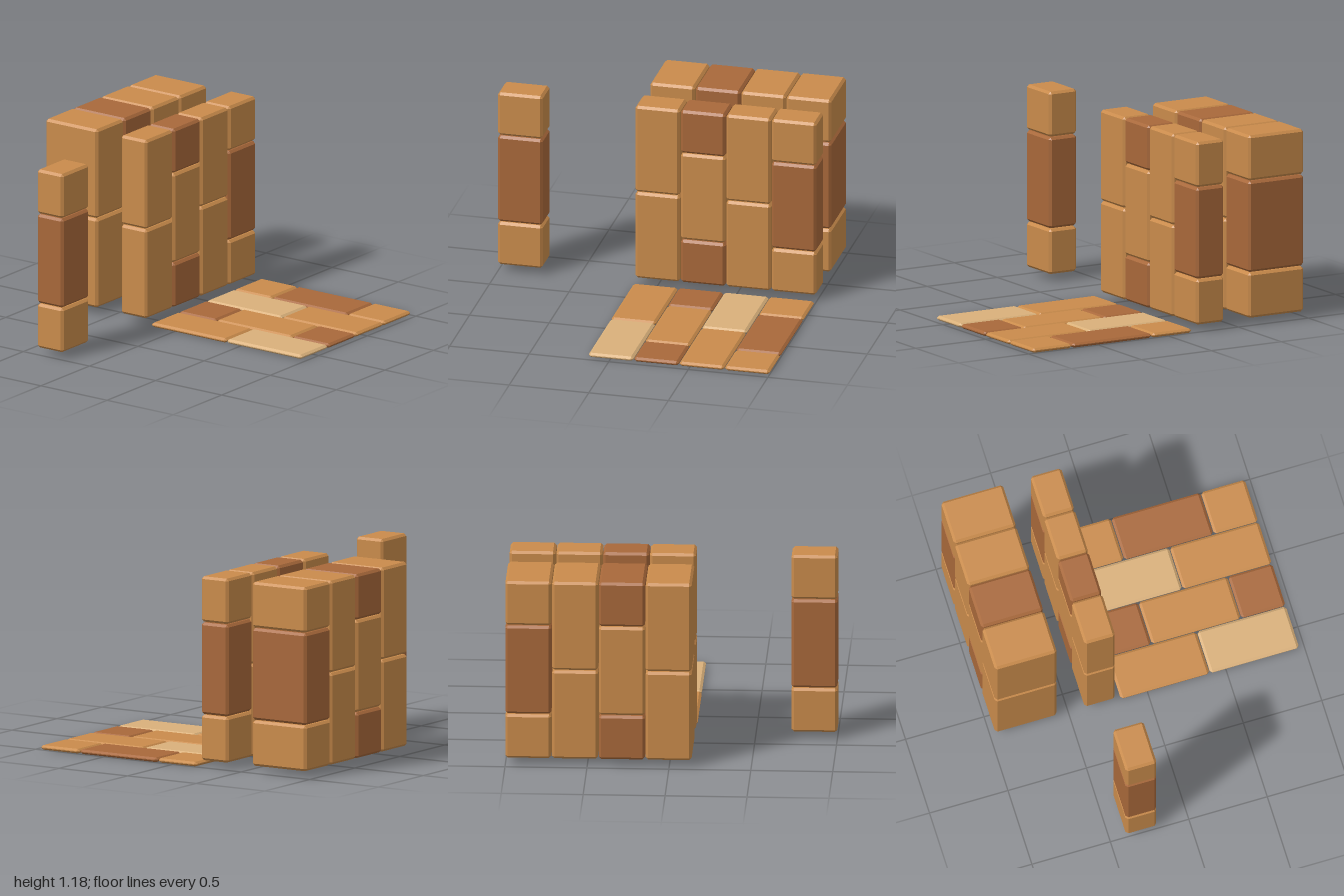
import * as THREE from 'three';
import { ConvexGeometry } from 'three/addons/geometries/ConvexGeometry.js';

const PITCH = 0.2855; // one cell of the brick pattern
const GAP = 0.005;

const orange = new THREE.MeshStandardMaterial({ color: 0xc98b4b, flatShading: true });
const brown = new THREE.MeshStandardMaterial({ color: 0xa8683a, flatShading: true });
const tan = new THREE.MeshStandardMaterial({ color: 0xd9b07a, flatShading: true });

// Box with every edge chamfered: three points at each corner
function chamferedBox(w, h, d) {
  const half = [w / 2, h / 2, d / 2];
  const bevel = 0.015;
  const inset = half.map((s) => Math.min(bevel, s * 0.8));
  const points = [];
  for (const sx of [-1, 1]) for (const sy of [-1, 1]) for (const sz of [-1, 1]) {
    const sign = [sx, sy, sz];
    for (let face = 0; face < 3; face++) {
      const p = half.map((s, i) => sign[i] * (i === face ? s : s - inset[i]));
      points.push(new THREE.Vector3(...p));
    }
  }
  return new ConvexGeometry(points);
}

// One brick, given by its lower corner and size
function addBrick(parent, name, min, size, material) {
  const mesh = new THREE.Mesh(chamferedBox(...size), material);
  mesh.name = name;
  mesh.position.set(...min.map((m, i) => m + size[i] / 2));
  parent.add(mesh);
}

// A run of bricks along one axis; each entry is [length in cells, material]
function addRun(parent, name, axis, min, size, run) {
  let cell = 0;
  for (const [cells, material] of run) {
    const m = [...min], s = [...size];
    m[axis] += cell * PITCH;
    s[axis] = cells * PITCH - GAP;
    addBrick(parent, name, m, s, material);
    cell += cells;
  }
}

// Bond patterns, ordered from the back row to the front row
const brownMiddle = [[1, orange], [2, brown], [1, orange]];
const brownEnds = [[1, brown], [2, orange], [1, brown]];
const twoLong = [[2, orange], [2, orange]];
const wallRows = [brownMiddle, twoLong, brownEnds, twoLong];
const floorRows = [
  brownMiddle,
  [[2, tan], [2, orange]],
  brownEnds,
  [[2, orange], [2, tan]],
];

function addWall(model, name, x, width) {
  const wall = new THREE.Group();
  wall.name = name;
  wallRows.forEach((run, i) =>
    addRun(wall, 'wallBrick', 1, [x, 0.045, -1 + i * PITCH], [width, 0, PITCH - GAP], run));
  model.add(wall);
}

export function createModel() {
  const model = new THREE.Group();
  model.name = 'brickSet';

  // Two upright walls, one thick and one thin
  addWall(model, 'thickWall', -0.97, 0.394);
  addWall(model, 'thinWall', -0.4, 0.196);

  // Free-standing post in front of the thin wall
  const post = new THREE.Group();
  post.name = 'post';
  addRun(post, 'postBrick', 1, [-0.4, 0.045, 0.72], [0.196, 0, PITCH - GAP], brownMiddle);
  model.add(post);

  // Flat paving
  const floor = new THREE.Group();
  floor.name = 'floor';
  floorRows.forEach((run, i) =>
    addRun(floor, 'floorTile', 0, [-0.17, 0, -1 + i * PITCH], [0, 0.028, PITCH - GAP], run));
  model.add(floor);

  return model;
}
